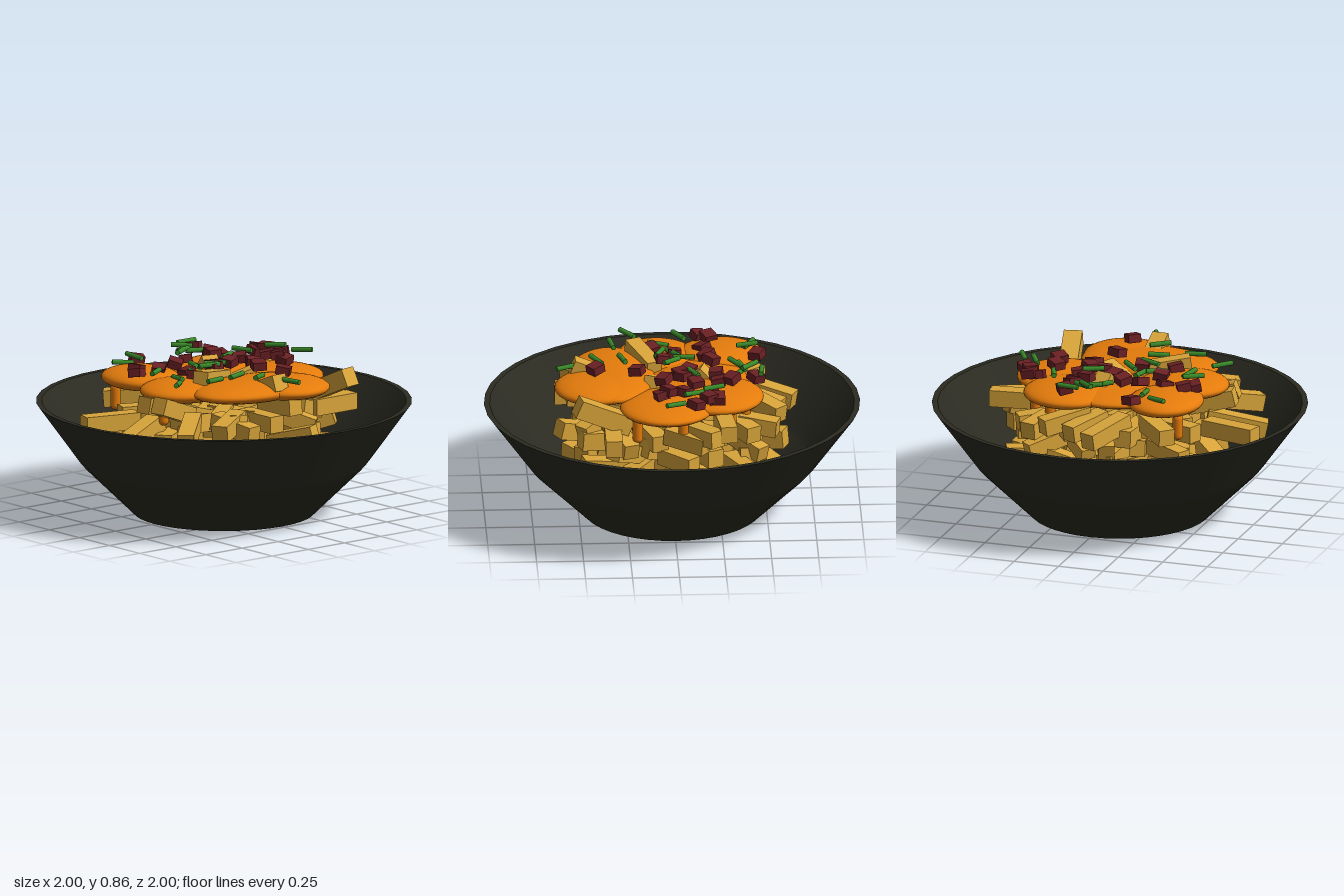
import * as THREE from 'three';

const material = (name, color, extra = {}) => Object.assign(new THREE.MeshStandardMaterial({ color, ...extra }), { name });

export function createModel() {
  const model = new THREE.Group();
  model.name = 'loadedFriesBowl';
  const bowlDark = material('bowlDark', 0x2b2b22);
  const potato = material('potato', 0xd9a53a);
  const cheese = material('cheese', 0xe57c0c);
  const baconRed = material('baconRed', 0x6a2024);
  const chiveGreen = material('chiveGreen', 0x3a8a2a);

  let seed = 7;
  const rand = (lo = 0, hi = 1) => {
    seed = (seed * 16807) % 2147483647;
    return lo + (hi - lo) * seed / 2147483647;
  };
  const group = (name) => {
    const g = new THREE.Group();
    g.name = name;
    model.add(g);
    return g;
  };
  const add = (parent, name, geometry, mat, x, y, z) => {
    const mesh = new THREE.Mesh(geometry, mat);
    mesh.name = name;
    mesh.position.set(x, y, z);
    parent.add(mesh);
    return mesh;
  };

  // Bowl: separate lathes keep the rim and foot edges crisp
  const bowl = group('bowl');
  const lathe = (name, pts) => add(bowl, name,
    new THREE.LatheGeometry(pts.map(p => new THREE.Vector2(...p)), 40), bowlDark, 0, 0, 0);
  lathe('bowlFoot', [[0, 0], [0.48, 0]]);
  lathe('bowlOuterWall', [[0.48, 0], [0.5, 0.02], [0.75, 0.265], [0.78, 0.3], [1, 0.605]]);
  lathe('bowlRim', [[1, 0.605], [0.97, 0.605]]);
  lathe('bowlInnerWall', [[0.97, 0.605], [0.75, 0.31], [0.72, 0.27], [0.49, 0.06], [0.44, 0.04], [0, 0.04]]);

  // Fries: square sticks laid between two end points
  const fries = group('fries');
  const fry = (a, b, w = 0.09) => {
    const p = new THREE.Vector3(...a), q = new THREE.Vector3(...b);
    const m = p.clone().add(q).multiplyScalar(0.5);
    add(fries, 'fry', new THREE.BoxGeometry(w, w, p.distanceTo(q)), potato, m.x, m.y, m.z).lookAt(q);
  };

  // Hidden and lower layers of the pile
  for (let layer = 0; layer < 6; layer++) {
    const y = 0.12 + layer * 0.088;
    const reach = [0.33, 0.42, 0.5, 0.52, 0.51, 0.47][layer];
    for (let i = 0; i < 26; i++) {
      const t = i * 2.4 + layer * 0.7;
      const r = reach * Math.sqrt((i + 0.5) / 26);
      const yaw = t + rand(-1.1, 1.1), h = rand(0.11, 0.16), rise = rand(-0.05, 0.05);
      const x = r * Math.cos(t), z = r * Math.sin(t);
      const dx = h * Math.cos(yaw), dz = h * Math.sin(yaw);
      fry([x - dx, y - rise, z - dz], [x + dx, y + rise, z + dz], rand(0.08, 0.1));
    }
  }
  // Fries showing around the edge and poking through the sauce
  fry([-0.82, 0.56, -0.18], [-0.52, 0.56, -0.1]);
  fry([-0.78, 0.5, 0.13], [-0.48, 0.57, 0.03]);
  fry([-0.62, 0.68, 0.08], [-0.38, 0.62, 0.05]);
  fry([-0.6, 0.69, 0.18], [-0.36, 0.6, 0.14]);
  fry([-0.64, 0.54, 0.45], [-0.42, 0.6, 0.25]);
  fry([-0.48, 0.58, 0.54], [-0.25, 0.62, 0.42]);
  fry([-0.29, 0.56, 0.6], [-0.33, 0.6, 0.33]);
  fry([-0.15, 0.6, 0.62], [-0.15, 0.6, 0.35]);
  fry([0.03, 0.66, 0.56], [0.02, 0.64, 0.3]);
  fry([0.44, 0.76, 0.52], [0.38, 0.63, 0.24], 0.1);
  fry([0.61, 0.58, 0.33], [0.33, 0.58, 0.33]);
  fry([0.64, 0.64, -0.22], [0.42, 0.62, -0.05]);
  fry([0.63, 0.66, -0.28], [0.36, 0.66, -0.25]);
  fry([0.58, 0.58, -0.16], [0.45, 0.6, 0.04]);
  fry([-0.04, 0.59, -0.65], [-0.16, 0.64, -0.38]);
  fry([0.09, 0.6, -0.58], [-0.03, 0.64, -0.36]);
  fry([0.24, 0.62, -0.57], [0.05, 0.66, -0.38]);
  fry([0.33, 0.58, -0.55], [0.27, 0.6, -0.35]);
  fry([0.43, 0.58, -0.42], [0.22, 0.6, -0.28]);
  fry([-0.43, 0.6, -0.48], [-0.25, 0.62, -0.3]);
  fry([-0.33, 0.8, 0.2], [-0.08, 0.76, 0.09], 0.085);
  fry([0.12, 0.76, 0.12], [-0.02, 0.7, 0.05], 0.08);
  fry([-0.05, 0.8, 0.53], [-0.05, 0.74, 0.38]);
  fry([0.04, 0.79, -0.19], [0.0, 0.64, -0.05]);

  // Cheese sauce: flattened pools [x, y, z, half width, half height, half depth]
  const sauce = group('cheeseSauce');
  const ball = new THREE.SphereGeometry(1, 32, 20);
  [
    [-0.35, 0.735, -0.27, 0.2, 0.06, 0.23], [0.2, 0.715, -0.23, 0.25, 0.06, 0.25],
    [0.33, 0.705, 0.04, 0.25, 0.055, 0.25], [-0.34, 0.725, 0.07, 0.24, 0.06, 0.22],
    [-0.06, 0.735, 0.32, 0.38, 0.06, 0.23], [0.1, 0.735, 0.4, 0.23, 0.058, 0.23],
    [-0.02, 0.715, -0.14, 0.3, 0.05, 0.27],
  ].forEach(([x, y, z, a, b, c]) => add(sauce, 'cheesePool', ball, cheese, x, y, z).scale.set(a, b, c));
  // Drips hanging from the pool edges
  const drip = new THREE.CapsuleGeometry(0.028, 0.09, 6, 14);
  [[0.46, 0.2], [0.52, -0.04], [0.32, 0.2], [0.37, -0.3], [0.26, -0.38], [-0.5, 0.1], [-0.45, -0.36]]
    .forEach(([x, z]) => add(sauce, 'cheeseDrip', drip, cheese, x, 0.63, z));

  // Bacon bits [x, z]
  const bacon = group('baconBits');
  const bit = new THREE.BoxGeometry(0.075, 0.045, 0.07);
  [
    [-0.22, -0.46], [-0.47, -0.16], [-0.43, -0.21], [-0.31, -0.17], [-0.18, -0.19], [-0.09, -0.21],
    [-0.24, -0.02], [-0.28, 0.1], [-0.11, 0.05], [0, -0.09], [0.07, -0.04], [0.15, -0.05],
    [0.19, -0.12], [0.16, 0.05], [0.11, -0.23], [0.17, -0.24], [0.16, -0.31], [0.16, -0.44],
    [0.39, -0.21], [0.43, -0.23], [0.44, -0.18], [0.49, -0.11], [0.34, -0.05], [0.35, 0.03],
    [0.36, 0.07], [0.08, 0.19], [0.07, 0.41],
  ].forEach(([x, z], i) => {
    const y = z > 0.15 ? 0.81 : Math.hypot(x, z) > 0.4 ? 0.785 : 0.79;
    add(bacon, 'baconBit', bit, baconRed, x, y + (i % 3) * 0.01, z)
      .rotation.set(rand(-0.25, 0.25), rand(-0.9, 0.9), rand(-0.25, 0.25));
  });

  // Chopped chives [x, z, heading in degrees]
  const chives = group('chives');
  const chive = new THREE.CylinderGeometry(0.014, 0.014, 0.115, 8).rotateZ(Math.PI / 2);
  [
    [-0.35, -0.42, 30], [-0.28, -0.41, 85], [-0.43, -0.05, -30], [-0.37, 0.06, -75], [-0.5, 0.22, -40],
    [-0.32, 0.31, -10], [-0.13, 0.26, -15], [-0.09, 0.4, -30], [-0.01, 0.56, 70], [-0.14, -0.07, -80],
    [-0.06, 0, 45], [-0.15, 0.06, 20], [-0.21, -0.01, -30], [-0.02, -0.34, -35], [0.05, -0.41, 45],
    [0.1, -0.35, 28], [0.03, -0.37, -15], [0.13, -0.47, 5], [0.3, -0.21, 70], [0.11, -0.11, -25],
    [0.44, -0.1, 60], [0.54, 0, 60],
  ].forEach(([x, z, deg], i) => {
    const y = x < -0.3 ? 0.79 : z > 0.5 ? 0.785 : 0.805;
    add(chives, 'chive', chive, chiveGreen, x, y + (i % 3) * 0.012, z)
      .rotation.set(0, -deg * Math.PI / 180, rand(-0.1, 0.1));
  });
  return model;
}
